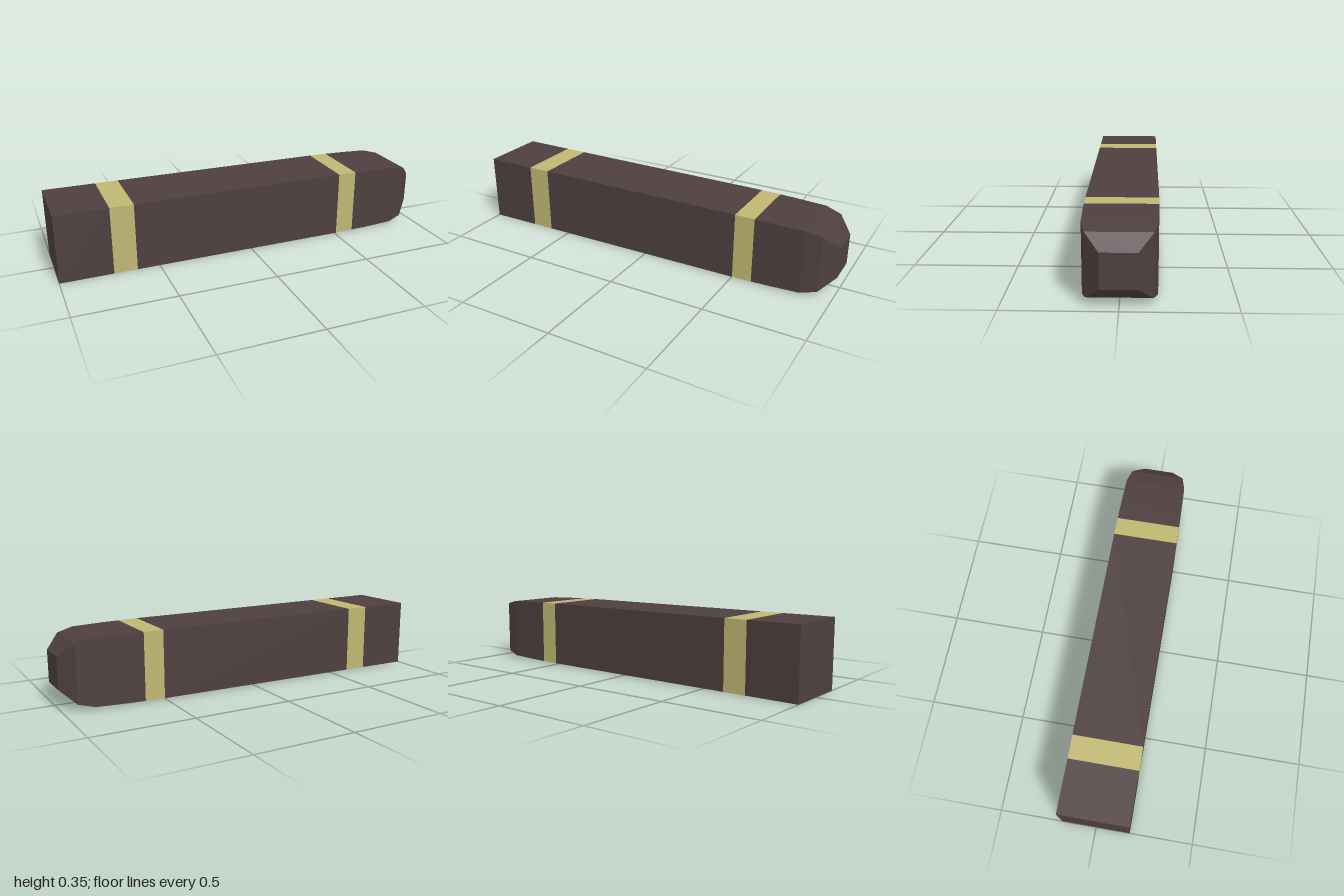
import * as THREE from 'three';

const CENTRE_Y = 0.176;

// Square-section sleeve along x, from [x, halfWidth] stations
function squareSleeve(name, stations, material) {
  const points = stations.map(([x, half]) => new THREE.Vector2(half * Math.SQRT2, x));
  const geometry = new THREE.LatheGeometry(points, 4, Math.PI / 4).toNonIndexed();
  geometry.rotateZ(-Math.PI / 2);
  geometry.computeVertexNormals();
  const mesh = new THREE.Mesh(geometry, material);
  mesh.name = name;
  mesh.position.y = CENTRE_Y;
  return mesh;
}

export function createModel() {
  const brown = new THREE.MeshStandardMaterial({ color: 0x4e3f3f });
  brown.name = 'dark brown';
  const gold = new THREE.MeshStandardMaterial({ color: 0xc0b772 });
  gold.name = 'pale gold';

  const model = new THREE.Group();
  model.name = 'bar';
  model.add(
    // Closed flat end, then bands flush with the gently tapering bar
    squareSleeve('rearEnd', [[-1, 0], [-1, 0.176], [-0.733, 0.175]], brown),
    squareSleeve('rearBand', [[-0.733, 0.175], [-0.615, 0.1747]], gold),
    squareSleeve('middleSection', [[-0.615, 0.1747], [0.505, 0.171]], brown),
    squareSleeve('frontBand', [[0.505, 0.171], [0.605, 0.1695]], gold),
    // Bevelled nose with a small flat tip
    squareSleeve('nose', [[0.605, 0.1695], [0.69, 0.168], [0.85, 0.163],
      [0.93, 0.144], [1, 0.08], [1, 0]], brown),
  );
  return model;
}
